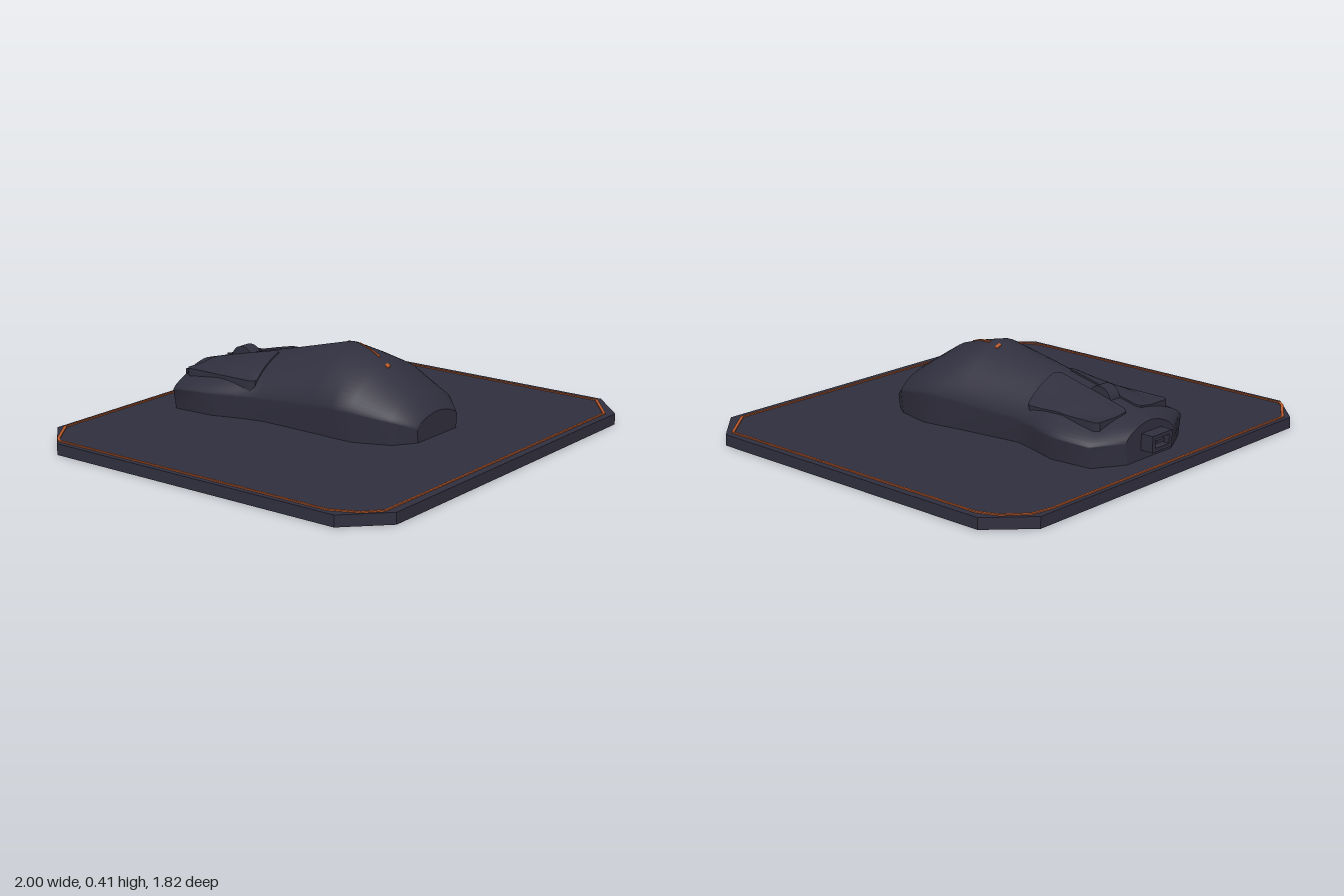
import * as THREE from 'three';

const charcoal = new THREE.MeshStandardMaterial({ name: 'charcoal', color: 0x302f3e });
const orange = new THREE.MeshStandardMaterial({ name: 'orange trim', color: 0xb8582a });

const PAD_TOP = 0.05;
const POWER = 1.6;

// Body cross-sections: [z, right edge x, left edge x, top y, shoulder y]
const SECTIONS = [
  [-0.78, -0.15, 0.16, 0.21, 0.14],
  [-0.70, -0.31, 0.30, 0.23, 0.14],
  [-0.50, -0.30, 0.32, 0.28, 0.15],
  [-0.38, -0.26, 0.28, 0.31, 0.15],
  [-0.26, -0.23, 0.245, 0.338, 0.15],
  [0.03, -0.235, 0.285, 0.41, 0.17],
  [0.14, -0.24, 0.305, 0.385, 0.18],
  [0.24, -0.24, 0.32, 0.355, 0.18],
  [0.40, -0.17, 0.28, 0.25, 0.15],
  [0.467, -0.07, 0.23, 0.16, 0.11],
];

const dome = (u) => Math.pow(Math.max(0, 1 - Math.pow(Math.abs(u), POWER)), 1 / POWER);

// Height of the body shell over a point of the pad
function bodyHeight(x, z) {
  let i = 0;
  while (i < SECTIONS.length - 2 && SECTIONS[i + 1][0] < z) i++;
  const a = SECTIONS[i], b = SECTIONS[i + 1];
  const t = THREE.MathUtils.clamp((z - a[0]) / (b[0] - a[0]), 0, 1);
  const [, x0, x1, top, shoulder] = a.map((v, k) => THREE.MathUtils.lerp(v, b[k], t));
  return shoulder + (top - shoulder) * dome((2 * x - x0 - x1) / (x1 - x0));
}

// Loft the sections and close both ends with separate cap faces
function bodyGeometry() {
  const steps = 24, ring = steps + 3;
  const pos = [], index = [];
  const rings = SECTIONS.map(([z, x0, x1, top, shoulder]) => {
    const c = (x0 + x1) / 2, w = (x1 - x0) / 2;
    const pts = [[c + w * 0.95, PAD_TOP, z]];
    for (let j = 0; j <= steps; j++) {
      const u = Math.cos((Math.PI * j) / steps);
      pts.push([c + w * u, shoulder + (top - shoulder) * dome(u), z]);
    }
    pts.push([c - w * 0.95, PAD_TOP, z]);
    return pts;
  });
  rings.forEach((pts) => pts.forEach((p) => pos.push(...p)));
  for (let i = 0; i < rings.length - 1; i++) {
    for (let j = 0; j < ring - 1; j++) {
      const a = i * ring + j, b = a + ring;
      index.push(a, a + 1, b, a + 1, b + 1, b);
    }
  }
  [[rings[0], true], [rings[rings.length - 1], false]].forEach(([pts, back]) => {
    const start = pos.length / 3;
    pts.forEach((p) => pos.push(...p));
    pos.push((pts[0][0] + pts[ring - 1][0]) / 2, PAD_TOP, pts[0][2]);
    for (let j = 0; j < ring - 1; j++) {
      const a = start + j, b = a + 1;
      index.push(start + ring, back ? b : a, back ? a : b);
    }
  });
  const g = new THREE.BufferGeometry();
  g.setAttribute('position', new THREE.Float32BufferAttribute(pos, 3));
  g.setIndex(index);
  g.computeVertexNormals();
  return g;
}

// Curved click plate that follows the shell, with clipped corners
function buttonGeometry(side) {
  const w = 0.2, l = 0.39, cx = side * 0.135, cz = -0.495;
  const g = new THREE.BoxGeometry(w, 1, l, 10, 1, 20);
  const p = g.attributes.position;
  for (let i = 0; i < p.count; i++) {
    const lz = p.getZ(i);
    const lx = p.getX(i) * (Math.abs(lz) > l / 2 - 0.001 ? 0.84 : 1);
    const x = cx + lx, z = cz + lz;
    const top = Math.max(bodyHeight(x, z) + 0.008, 0.228);
    p.setXYZ(i, x, p.getY(i) > 0 ? top : top - 0.05, z);
  }
  g.computeVertexNormals();
  return g;
}

// Flat plate drawn in x and z, hanging down from a given height
function plate(points, topY, depth, holePoints) {
  const toVectors = (list) => list.map(([x, z]) => new THREE.Vector2(x, z));
  const shape = new THREE.Shape(toVectors(points));
  if (holePoints) shape.holes.push(new THREE.Path(toVectors(holePoints)));
  const g = new THREE.ExtrudeGeometry(shape, { depth, bevelEnabled: false });
  return g.rotateX(Math.PI / 2).translate(0, topY, 0);
}

// Thin accent strip draped over the shell between two points
function accentGeometry([xa, za], [xb, zb], width) {
  const g = new THREE.BoxGeometry(width, 1, 1, 1, 1, 8);
  const p = g.attributes.position;
  for (let i = 0; i < p.count; i++) {
    const t = p.getZ(i) + 0.5;
    const x = THREE.MathUtils.lerp(xa, xb, t) + p.getX(i);
    const z = THREE.MathUtils.lerp(za, zb, t);
    p.setXYZ(i, x, bodyHeight(x, z) + p.getY(i) * 0.008, z);
  }
  g.computeVertexNormals();
  return g;
}

export function createModel() {
  const model = new THREE.Group();
  model.name = 'mouseOnPad';
  const add = (name, geometry, material, parent = model) => {
    const mesh = new THREE.Mesh(geometry, material);
    mesh.name = name;
    parent.add(mesh);
    return mesh;
  };

  // Pad with cut corners
  const X = 1, Z = 0.91, cut = 0.17;
  add('pad', plate([
    [X, -Z + cut], [X, Z - cut], [X - cut, Z], [-X + cut, Z],
    [-X, Z - cut], [-X, -Z + cut], [-X + cut, -Z], [X - cut, -Z],
  ], PAD_TOP, PAD_TOP), charcoal);

  // Stitched border line
  const border = [
    [-0.975, -0.76], [-0.95, -0.79], [-0.81, -0.89], [0.74, -0.89], [0.84, -0.873],
    [0.93, -0.79], [0.968, -0.70], [0.968, 0.74], [0.80, 0.878], [-0.85, 0.872],
    [-0.92, 0.81], [-0.975, 0.69],
  ];
  const inner = border.map(([x, z]) => [x * 0.99, z * 0.989]);
  add('padBorder', plate(border, PAD_TOP + 0.005, 0.006, inner), orange);

  // Mouse shell and buttons
  const mouse = new THREE.Group();
  mouse.name = 'mouse';
  model.add(mouse);
  add('body', bodyGeometry(), charcoal, mouse);
  add('leftButton', buttonGeometry(1), charcoal, mouse);
  add('rightButton', buttonGeometry(-1), charcoal, mouse);

  // Scroll wheel
  const wheel = new THREE.CylinderGeometry(0.06, 0.06, 0.064, 24).rotateZ(Math.PI / 2);
  add('scrollWheel', wheel, charcoal, mouse).position.set(0, 0.25, -0.53);

  // Hollow socket at the nose with a tongue inside
  const rect = (C, w, h) => new C([[-w, -h], [w, -h], [w, h], [-w, h]].map((q) => new THREE.Vector2(...q)));
  const socket = rect(THREE.Shape, 0.065, 0.036);
  socket.holes.push(rect(THREE.Path, 0.045, 0.02));
  add('socket', new THREE.ExtrudeGeometry(socket, { depth: 0.08, bevelEnabled: false }), charcoal, mouse)
    .position.set(-0.005, 0.127, -0.84);
  add('socketTongue', new THREE.BoxGeometry(0.05, 0.014, 0.06), charcoal, mouse)
    .position.set(-0.005, 0.127, -0.80);

  // Orange accents on the palm rest
  [
    [[0.078, -0.005], [0.078, 0.009], 0.028],
    [[0.067, 0.06], [0.022, 0.2], 0.009],
    [[0.004, 0.25], [0.004, 0.265], 0.022],
  ].forEach(([a, b, w], i) => add(`accent${i + 1}`, accentGeometry(a, b, w), orange, mouse));

  return model;
}
